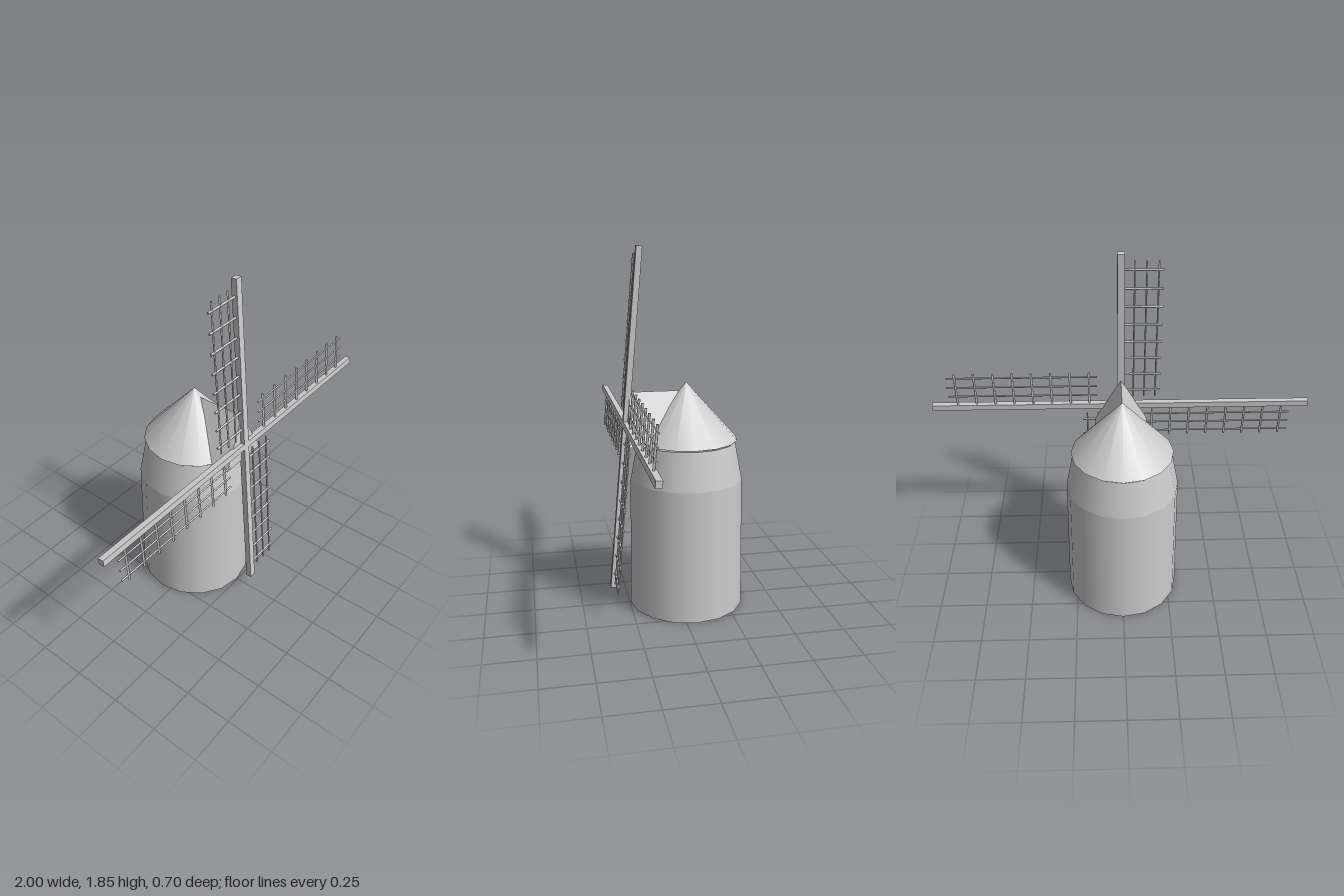
import * as THREE from 'three';

const SIDES = 16;
const AXIS_Z = -0.053;
const material = new THREE.MeshStandardMaterial({ color: 0xcccccc, side: THREE.DoubleSide });

function addMesh(parent, name, geometry, x = 0, y = 0, z = 0) {
  const mesh = new THREE.Mesh(geometry, material);
  mesh.name = name;
  mesh.position.set(x, y, z);
  parent.add(mesh);
  return mesh;
}

// Open round wall between two heights on the tower axis
function addRing(parent, name, rBottom, rTop, y0, y1) {
  const geometry = new THREE.CylinderGeometry(rTop, rBottom, y1 - y0, SIDES, 1, true);
  return addMesh(parent, name, geometry, 0, (y0 + y1) / 2, AXIS_Z);
}

// Gabled housing for the sail shaft, its front leaning with the sails
function dormerGeometry() {
  const gable = new THREE.Shape();
  gable.moveTo(-0.137, 0.887);
  gable.lineTo(0.137, 0.887);
  gable.lineTo(0, 1.138);
  const geometry = new THREE.ExtrudeGeometry(gable, { depth: 0.31, bevelEnabled: false });
  geometry.translate(0, 0, -0.05);
  const p = geometry.attributes.position;
  for (let i = 0; i < p.count; i++) {
    if (p.getZ(i) > 0.1) p.setZ(i, 0.26 - (p.getY(i) - 0.887) * 0.09);
  }
  geometry.computeVertexNormals();
  return geometry;
}

// Lattice frame beside one upright arm, starting at radius r0
function createLattice(r0) {
  const lattice = new THREE.Group();
  lattice.name = 'sailLattice';
  for (let i = 0; i < 8; i++) {
    const bar = new THREE.CylinderGeometry(0.006, 0.006, 0.195, 6);
    bar.rotateZ(Math.PI / 2);
    addMesh(lattice, 'crossBar', bar, -0.108, r0 + 0.043 + i * 0.0995, 0);
  }
  for (const x of [-0.065, -0.122, -0.18]) {
    const rod = new THREE.CylinderGeometry(0.0045, 0.0045, 0.785, 6);
    addMesh(lattice, 'longRod', rod, x, r0 + 0.3925, 0);
  }
  return lattice;
}

export function createModel() {
  const model = new THREE.Group();
  model.name = 'windmill';

  // Tower and conical cap
  addRing(model, 'towerWall', 0.298, 0.29, 0, 0.685);
  addRing(model, 'towerShoulder', 0.29, 0.253, 0.685, 0.88);
  addRing(model, 'roofCone', 0.262, 0, 0.888, 1.18);
  addMesh(model, 'dormer', dormerGeometry());

  // Sails: two crossed beams, leaning back
  const sails = new THREE.Group();
  sails.name = 'sails';
  sails.position.set(0, 0.974, 0.259);
  sails.rotation.x = -0.0885;
  addMesh(sails, 'uprightBeam', new THREE.BoxGeometry(0.036, 1.758, 0.03));
  addMesh(sails, 'crossBeam', new THREE.BoxGeometry(2, 0.032, 0.03));
  for (let i = 0; i < 4; i++) {
    const lattice = createLattice(i % 2 ? 0.124 : 0.054);
    lattice.rotation.z = i * Math.PI / 2;
    sails.add(lattice);
  }
  model.add(sails);
  return model;
}
